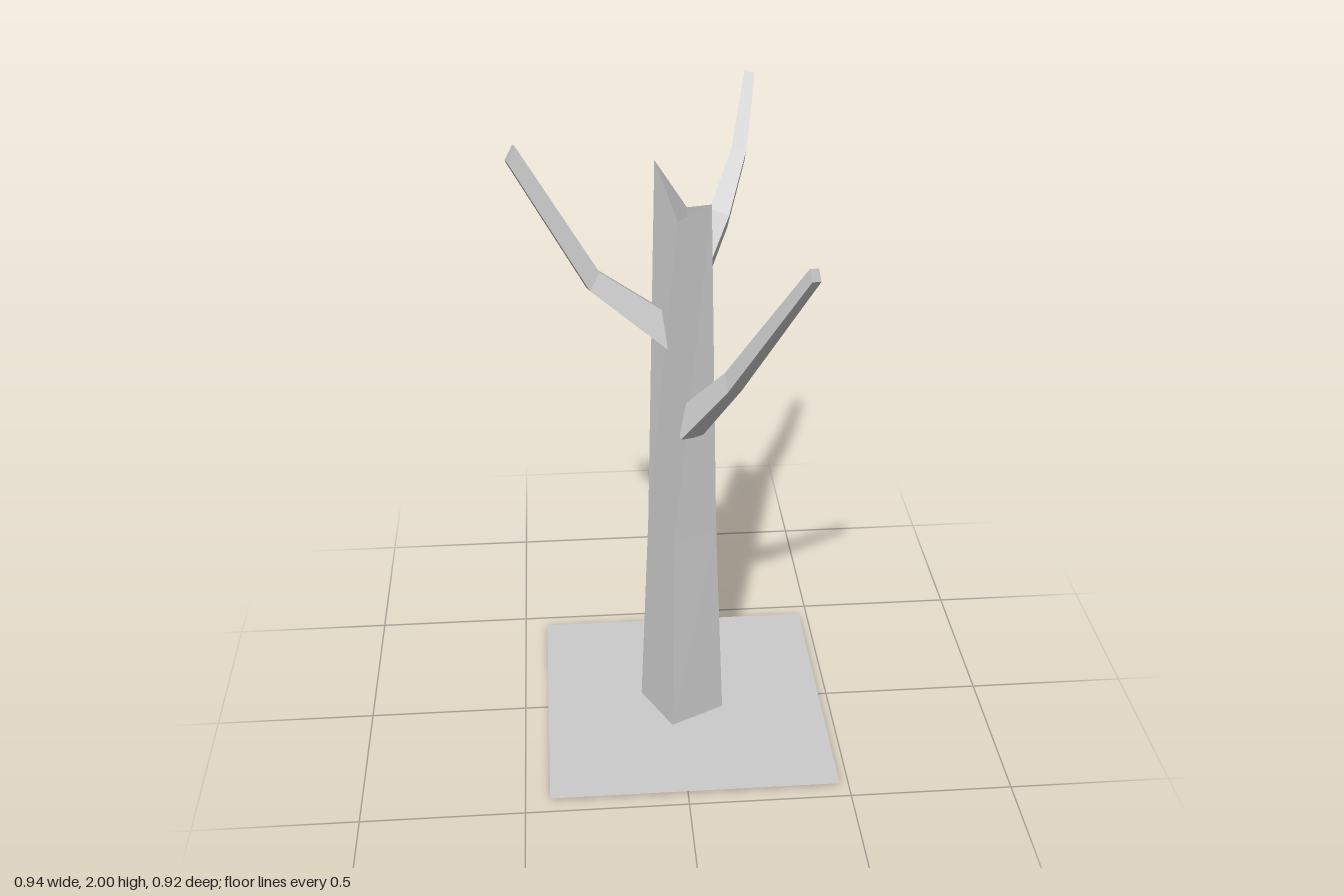
import * as THREE from 'three';

// Four-sided skin through a list of rings (each an array of four Vector3, counter-clockwise seen from the tip)
function skin(name, rings, capped) {
  const pos = [];
  const quad = (a, b, c, d) => [a, b, c, a, c, d].forEach((p) => pos.push(p.x, p.y, p.z));
  for (let r = 0; r < rings.length - 1; r++) {
    const lo = rings[r], hi = rings[r + 1];
    for (let i = 0; i < 4; i++) {
      const j = (i + 1) % 4;
      quad(lo[i], lo[j], hi[j], hi[i]);
    }
  }
  if (capped) {
    quad(...rings[rings.length - 1]);
    quad(...[...rings[0]].reverse());
  }
  const geo = new THREE.BufferGeometry();
  geo.setAttribute('position', new THREE.Float32BufferAttribute(pos, 3));
  geo.computeVertexNormals();
  const mat = new THREE.MeshStandardMaterial({
    color: 0xcccccc, flatShading: true, side: capped ? THREE.FrontSide : THREE.DoubleSide,
  });
  const mesh = new THREE.Mesh(geo, mat);
  mesh.name = name;
  return mesh;
}

// Bent square limb; stations are [x, y, z, side length], all sections share one tilted plane
function branch(name, stations, twist) {
  const first = stations[0], last = stations[stations.length - 1];
  const heading = new THREE.Vector3(last[0] - first[0], 0, last[2] - first[2]).normalize();
  const up = new THREE.Vector3(0, 1, 0);
  const left = up.clone().cross(heading);
  const normal = up.clone().multiplyScalar(0.87).addScaledVector(heading, -0.5);
  const rings = stations.map(([x, y, z, s]) =>
    [0, 1, 2, 3].map((i) => {
      const a = Math.PI / 4 + twist + (i * Math.PI) / 2;
      const r = s * Math.SQRT1_2;
      return new THREE.Vector3(x, y, z)
        .addScaledVector(left, r * Math.cos(a))
        .addScaledVector(normal, r * Math.sin(a));
    }));
  return skin(name, rings, true);
}

export function createModel() {
  const tree = new THREE.Group();
  tree.name = 'deadTree';

  // Ground sheet
  const ground = new THREE.Mesh(
    new THREE.PlaneGeometry(0.895, 0.895).rotateX(-Math.PI / 2),
    new THREE.MeshStandardMaterial({ color: 0xcccccc, flatShading: true, side: THREE.DoubleSide }));
  ground.position.set(0.023, 0.012, 0.008);
  ground.name = 'ground';
  tree.add(ground);

  // Tapered trunk with a hollow, splintered top
  const trunkRings = [
    [[-0.025, 0.018, 0.145], [0.145, 0.018, 0.06], [0.06, 0, -0.115], [-0.115, 0.018, -0.03]],
    [[-0.018, 0.7, 0.117], [0.118, 0.7, 0.05], [0.048, 0.7, -0.09], [-0.088, 0.7, -0.018]],
    [[-0.005, 1.74, 0.092], [0.095, 1.765, 0.033], [0.035, 1.715, -0.077], [-0.062, 1.885, -0.005]],
  ].map((ring) => ring.map((p) => new THREE.Vector3(...p)));
  tree.add(skin('trunk', trunkRings, false));

  // Bare branches
  const twist = THREE.MathUtils.degToRad(16);
  tree.add(branch('rightBranch', [
    [-0.01, 1.355, 0.005, 0.09], [-0.24, 1.535, 0.004, 0.06], [-0.457, 1.922, 0.014, 0.048],
  ], twist));
  tree.add(branch('frontBranch', [
    [0.03, 1.085, 0.06, 0.085], [0.148, 1.28, 0.172, 0.055], [0.338, 1.69, 0.366, 0.036],
  ], -twist));
  tree.add(branch('backBranch', [
    [0.03, 1.495, -0.02, 0.09], [0.14, 1.625, -0.21, 0.06],
    [0.21, 1.775, -0.345, 0.045], [0.25, 1.982, -0.446, 0.032],
  ], twist));

  return tree;
}
